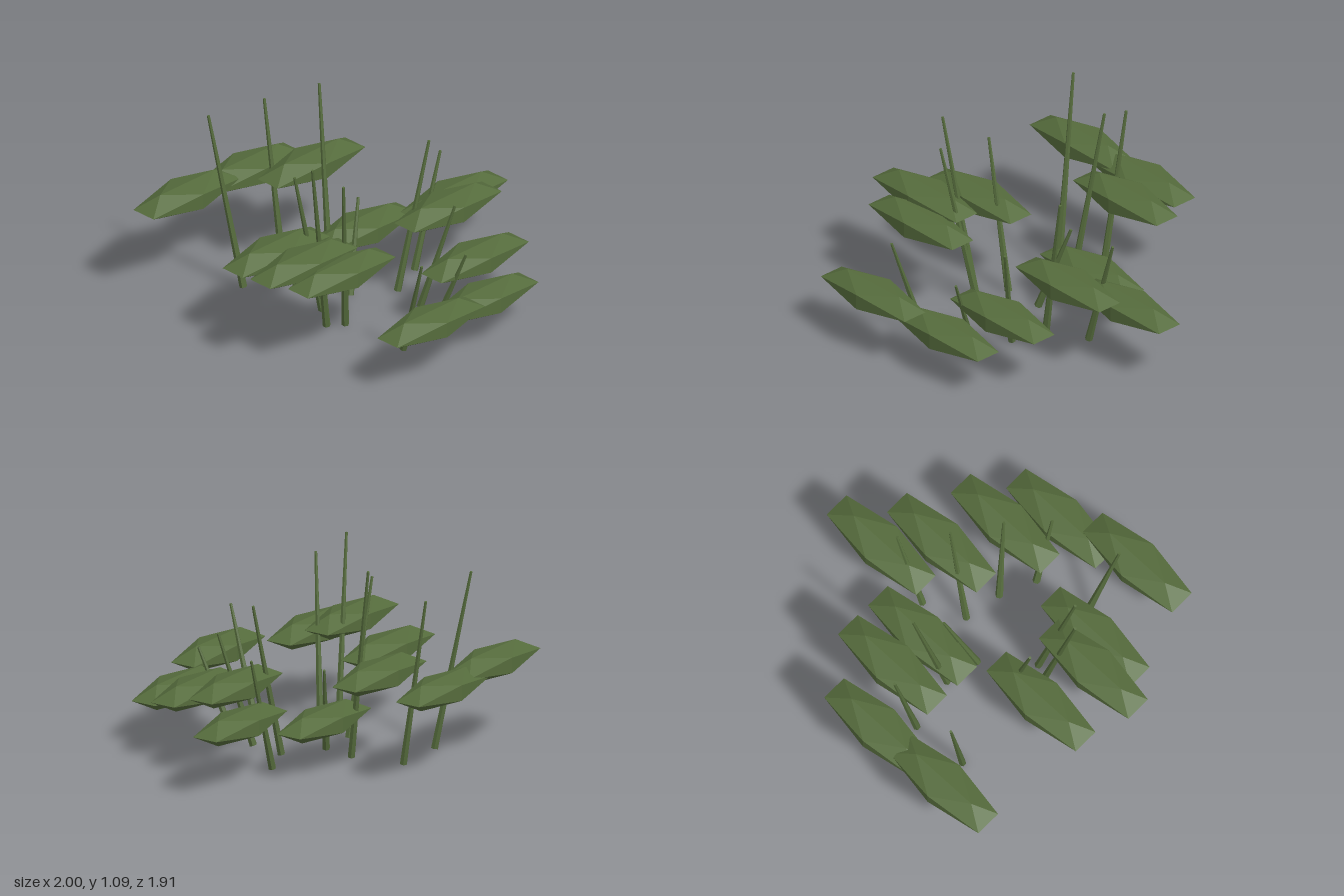
import * as THREE from 'three';

// One plant per row: stem base (x, z), stem tip (x, y, z), leaf centre (x, y, z)
const PLANTS = [
  [[-0.405, -0.545], [-0.49, 1.0, -0.722], [-0.54, 0.507, -0.83]],
  [[-0.09, -0.565], [-0.075, 0.945, -0.72], [-0.07, 0.48, -0.835]],
  [[-0.03, -0.27], [0.058, 1.093, -0.441], [0.105, 0.555, -0.547]],
  [[-0.07, -0.08], [0.085, 0.5, -0.175], [0.178, 0.255, -0.24]],
  [[-0.29, -0.07], [-0.47, 0.86, -0.095], [-0.577, 0.442, -0.123]],
  [[0.37, -0.04], [0.56, 0.652, -0.037], [0.67, 0.334, -0.043]],
  [[-0.395, 0.07], [-0.573, 1.035, 0.143], [-0.672, 0.527, 0.179]],
  [[-0.315, 0.13], [-0.46, 0.935, 0.262], [-0.54, 0.477, 0.33]],
  [[0.145, 0.06], [0.32, 0.865, 0.12], [0.422, 0.44, 0.16]],
  [[0.105, 0.27], [0.215, 0.628, 0.42], [0.283, 0.32, 0.502]],
  [[0.02, 0.465], [0.075, 0.474, 0.645], [0.112, 0.237, 0.747]],
  [[-0.29, 0.54], [-0.338, 0.59, 0.727], [-0.37, 0.307, 0.83]],
];

export function createModel() {
  const green = new THREE.MeshStandardMaterial({ color: 0x556b3c, flatShading: true });
  green.name = 'olive green';

  // Flattened faceted leaf, shared by all plants
  const leafGeometry = new THREE.IcosahedronGeometry(1, 0).scale(0.385, 0.082, 0.143);
  const up = new THREE.Vector3(0, 1, 0);
  const model = new THREE.Group();
  model.name = 'reeds and floating leaves';

  for (const [[bx, bz], tip, centre] of PLANTS) {
    const plant = new THREE.Group();
    plant.name = 'plant';

    // Leaning tapered stem
    const base = new THREE.Vector3(bx, 0.007, bz);
    const axis = new THREE.Vector3(...tip).sub(base);
    const stem = new THREE.Mesh(new THREE.CylinderGeometry(0.008, 0.021, axis.length(), 6), green);
    stem.name = 'stem';
    stem.position.copy(base).addScaledVector(axis, 0.5);
    stem.quaternion.setFromUnitVectors(up, axis.normalize());

    // Broad leaf
    const leaf = new THREE.Mesh(leafGeometry, green);
    leaf.name = 'leaf';
    leaf.position.set(...centre);

    plant.add(stem, leaf);
    model.add(plant);
  }
  return model;
}
